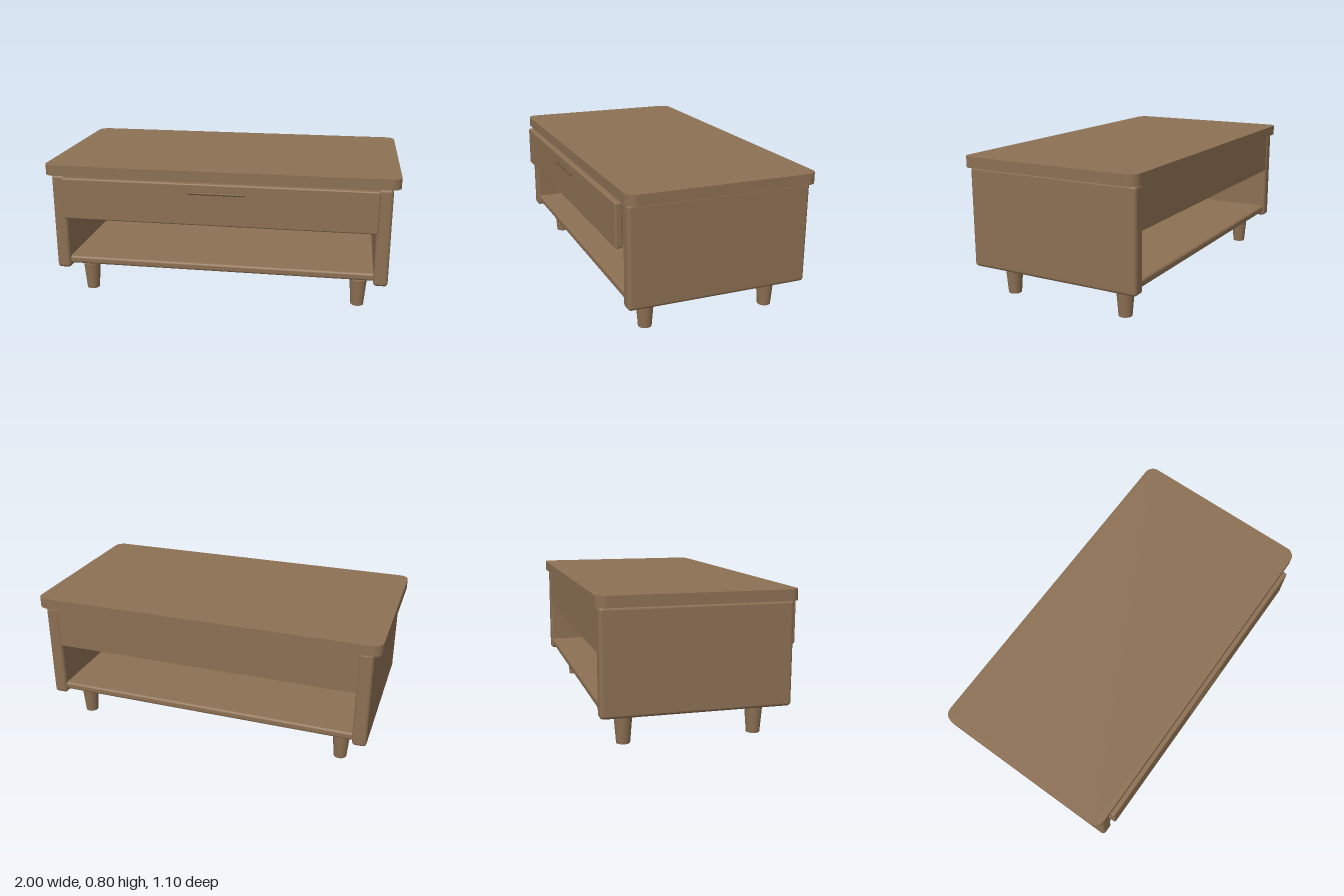
import * as THREE from 'three';
import { RoundedBoxGeometry } from 'three/addons/geometries/RoundedBoxGeometry.js';

const wood = new THREE.MeshStandardMaterial({ name: 'wood', color: 0x8c7053 });
const darkWood = new THREE.MeshStandardMaterial({ name: 'dark wood', color: 0x72583f });

const CENTRE_Z = -0.02; // carcass sits slightly back, the drawer front projects

function add(group, name, geometry, x, y, z, material = wood) {
  const mesh = new THREE.Mesh(geometry, material);
  mesh.name = name;
  mesh.position.set(x, y, z);
  group.add(mesh);
  return mesh;
}

// Flat slab with rounded corners in plan, its underside at y = 0
function slab(width, depth, height, r) {
  const w = width / 2, d = depth / 2;
  const s = new THREE.Shape();
  s.absarc(w - r, d - r, r, 0, Math.PI / 2);
  s.absarc(-w + r, d - r, r, Math.PI / 2, Math.PI);
  s.absarc(-w + r, -d + r, r, Math.PI, Math.PI * 1.5);
  s.absarc(w - r, -d + r, r, Math.PI * 1.5, Math.PI * 2);
  s.closePath();
  const g = new THREE.ExtrudeGeometry(s, { depth: height, bevelEnabled: false, curveSegments: 8 });
  return g.rotateX(-Math.PI / 2);
}

export function createModel() {
  const table = new THREE.Group();
  table.name = 'coffeeTable';

  add(table, 'tableTop', slab(2, 1.06, 0.06, 0.055), 0, 0.74, CENTRE_Z);

  // Side panels and tapered legs, mirrored
  for (const side of [1, -1]) {
    const label = side > 0 ? 'left' : 'right';
    add(table, label + 'SidePanel', new RoundedBoxGeometry(0.08, 0.565, 1.025, 4, 0.02),
      side * 0.92, 0.4575, -0.0175);
    for (const [end, z] of [['Front', 0.345], ['Back', -0.38]]) {
      add(table, label + end + 'Leg', new THREE.CylinderGeometry(0.05, 0.037, 0.16, 24),
        side * 0.8, 0.08, z);
    }
  }

  // Open shelf and drawer compartment
  add(table, 'shelf', new RoundedBoxGeometry(1.78, 0.045, 1.0, 4, 0.015), 0, 0.2225, CENTRE_Z);
  add(table, 'drawerBox', new THREE.BoxGeometry(1.77, 0.24, 1.01), 0, 0.62, CENTRE_Z);

  // Drawer front and slim round handle
  add(table, 'drawerFront', new RoundedBoxGeometry(1.78, 0.24, 0.04, 4, 0.009), 0, 0.615, 0.515);
  const handle = new THREE.CapsuleGeometry(0.008, 0.304, 4, 12).rotateZ(Math.PI / 2);
  add(table, 'drawerHandle', handle, 0, 0.683, 0.541, darkWood);

  return table;
}
